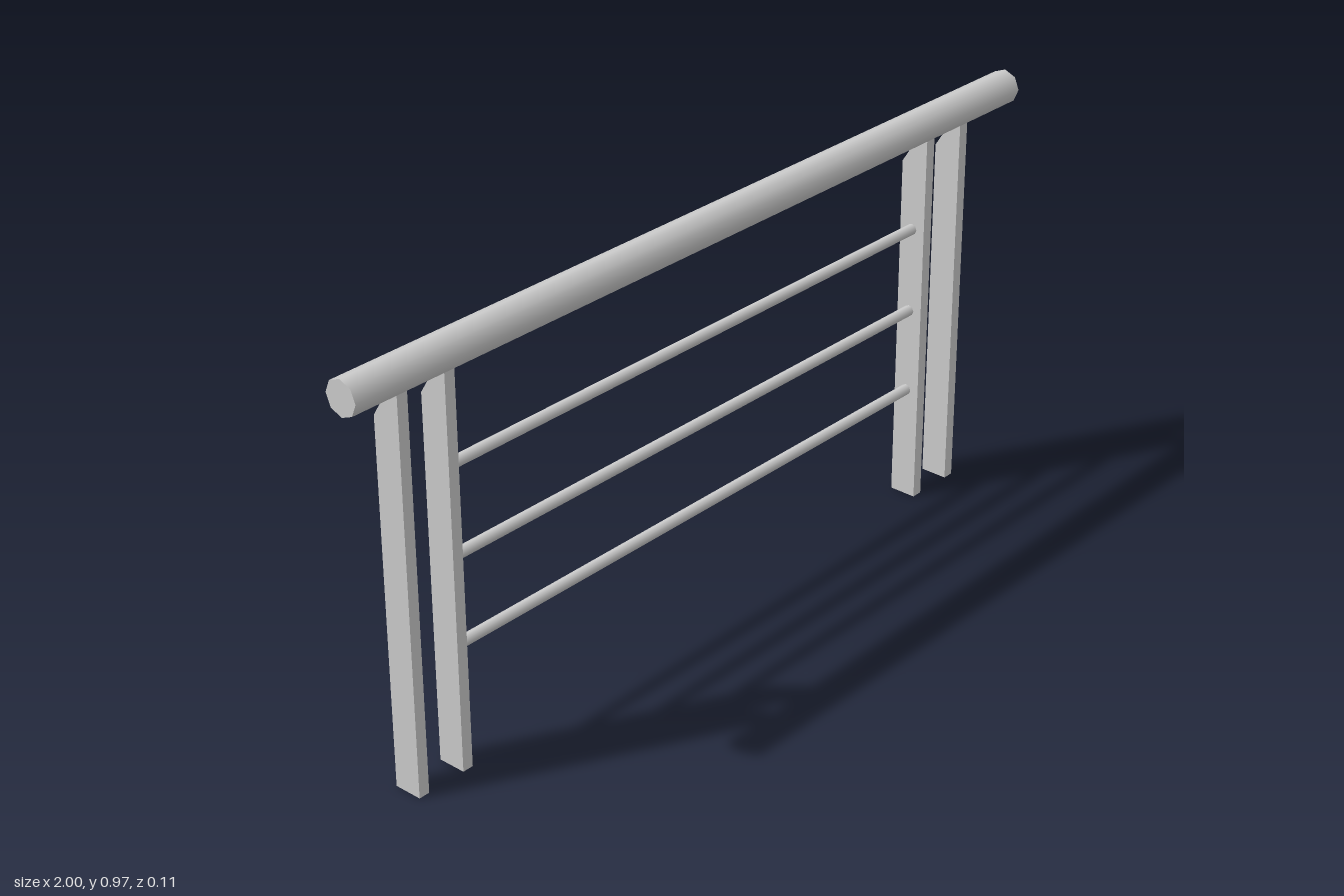
import * as THREE from 'three';

const material = new THREE.MeshStandardMaterial({ color: 0xcccccc });

// Horizontal eight-sided bar running along x
function bar(name, radius, length, y, z) {
  const geometry = new THREE.CylinderGeometry(radius, radius, length, 8);
  geometry.rotateZ(Math.PI / 2);
  const mesh = new THREE.Mesh(geometry, material);
  mesh.name = name;
  mesh.position.set(0, y, z);
  return mesh;
}

// Flat post: side profile with a chamfered back top corner, extruded along x
function postGeometry(thickness) {
  const profile = new THREE.Shape([
    [-0.013, 0], [0.052, 0], [0.052, 0.826], [0.006, 0.9], [-0.013, 0.9],
  ].map(([x, y]) => new THREE.Vector2(x, y)));
  const geometry = new THREE.ExtrudeGeometry(profile, { depth: thickness, bevelEnabled: false });
  geometry.translate(0, 0, -thickness / 2);
  geometry.rotateY(Math.PI / 2); // profile x becomes -z
  return geometry;
}

export function createModel() {
  const group = new THREE.Group();
  group.name = 'railing';

  // Handrail
  group.add(bar('handrail', 0.039, 2, 0.935, 0.014));

  // Pairs of posts at both ends
  const post = postGeometry(0.026);
  for (const side of [-1, 1]) {
    for (const [name, x] of [['innerPost', 0.733], ['outerPost', 0.853]]) {
      const mesh = new THREE.Mesh(post, material);
      mesh.name = (side > 0 ? 'left ' : 'right ') + name;
      mesh.position.x = side * x;
      group.add(mesh);
    }
  }

  // Crossbars between the inner posts
  [0.27, 0.47, 0.67].forEach((y, i) => {
    group.add(bar(`crossbar ${i + 1}`, 0.0125, 1.442, y, -0.02));
  });

  return group;
}
